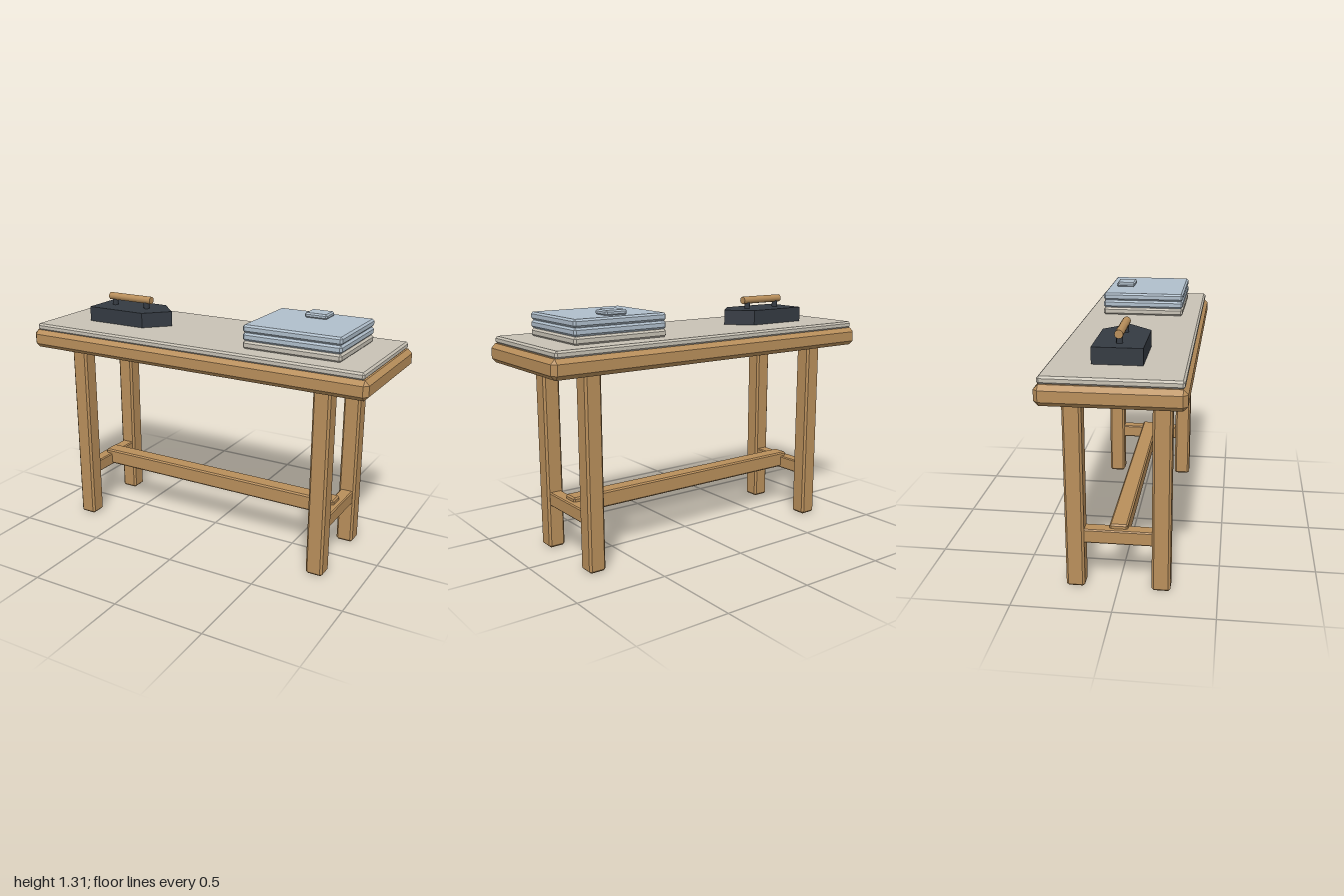
import * as THREE from 'three';
import { ConvexGeometry } from 'three/addons/geometries/ConvexGeometry.js';

function material(name, color) {
  const m = new THREE.MeshStandardMaterial({ color });
  m.name = name;
  return m;
}

// Box with every edge cut at 45 degrees
function chamferBox(w, h, d, c) {
  const points = [];
  for (const x of [-1, 1]) for (const y of [-1, 1]) for (const z of [-1, 1]) {
    const [X, Y, Z] = [w / 2, h / 2, d / 2];
    points.push(
      new THREE.Vector3(x * X, y * (Y - c), z * (Z - c)),
      new THREE.Vector3(x * (X - c), y * Y, z * (Z - c)),
      new THREE.Vector3(x * (X - c), y * (Y - c), z * Z)
    );
  }
  return new ConvexGeometry(points);
}

export function createModel() {
  const wood = material('wood', 0xb98f5b);
  const linen = material('linen', 0xc8c2b5);
  const blueCloth = material('blue cloth', 0xb0bfcc);
  const iron = material('dark iron', 0x343a42);

  const model = new THREE.Group();
  model.name = 'ironingTable';

  function add(parent, name, geometry, mat, x, y, z) {
    const mesh = new THREE.Mesh(geometry, mat);
    mesh.name = name;
    mesh.position.set(x, y, z);
    parent.add(mesh);
    return mesh;
  }

  // Table: top, padded cover, legs and stretchers
  const table = new THREE.Group();
  table.name = 'table';
  model.add(table);
  add(table, 'tableTop', chamferBox(2, 0.1, 0.69, 0.023), wood, 0, 1.074, 0);
  add(table, 'paddedCover', chamferBox(1.95, 0.038, 0.66, 0.01), linen, 0, 1.141, 0);

  const legGeometry = chamferBox(0.094, 1.04, 0.094, 0.011);
  const crossGeometry = chamferBox(0.07, 0.074, 0.36, 0.006);
  for (const sx of [-1, 1]) {
    for (const sz of [-1, 1]) add(table, 'leg', legGeometry, wood, sx * 0.742, 0.52, sz * 0.216);
    add(table, 'crossStretcher', crossGeometry, wood, sx * 0.742, 0.279, 0);
  }
  add(table, 'longStretcher', chamferBox(1.5, 0.088, 0.092, 0.008), wood, 0, 0.294, 0);

  // Flat iron: pointed body, two posts and a round handle
  const flatIron = new THREE.Group();
  flatIron.name = 'flatIron';
  flatIron.position.set(-0.555, 1.16, 0);
  model.add(flatIron);

  const sole = new THREE.Shape([
    [-0.2, -0.122], [0.155, -0.122], [0.275, 0], [0.155, 0.122], [-0.2, 0.122]
  ].map(([x, y]) => new THREE.Vector2(x, y)));
  const body = new THREE.ExtrudeGeometry(sole, { depth: 0.082, bevelEnabled: false });
  body.rotateX(-Math.PI / 2);
  add(flatIron, 'ironBody', body, iron, 0, 0, 0);

  const post = new THREE.CylinderGeometry(0.016, 0.016, 0.05, 12);
  for (const x of [-0.11, 0.105]) add(flatIron, 'handlePost', post, iron, x, 0.1, 0);

  const handle = new THREE.CylinderGeometry(0.021, 0.021, 0.28, 12);
  handle.rotateZ(Math.PI / 2);
  add(flatIron, 'ironHandle', handle, wood, 0, 0.13, 0);

  // Folded cloths in a stack, with a small square patch on top
  const stack = new THREE.Group();
  stack.name = 'foldedCloths';
  stack.position.set(0.552, 1.16, 0);
  model.add(stack);
  const cloth = chamferBox(0.534, 0.041, 0.456, 0.01);
  [linen, blueCloth, blueCloth].forEach((mat, i) =>
    add(stack, 'foldedCloth', cloth, mat, 0, 0.0195 + i * 0.042, 0));
  add(stack, 'clothPatch', chamferBox(0.125, 0.027, 0.106, 0.008), blueCloth, 0, 0.136, -0.127);

  return model;
}
